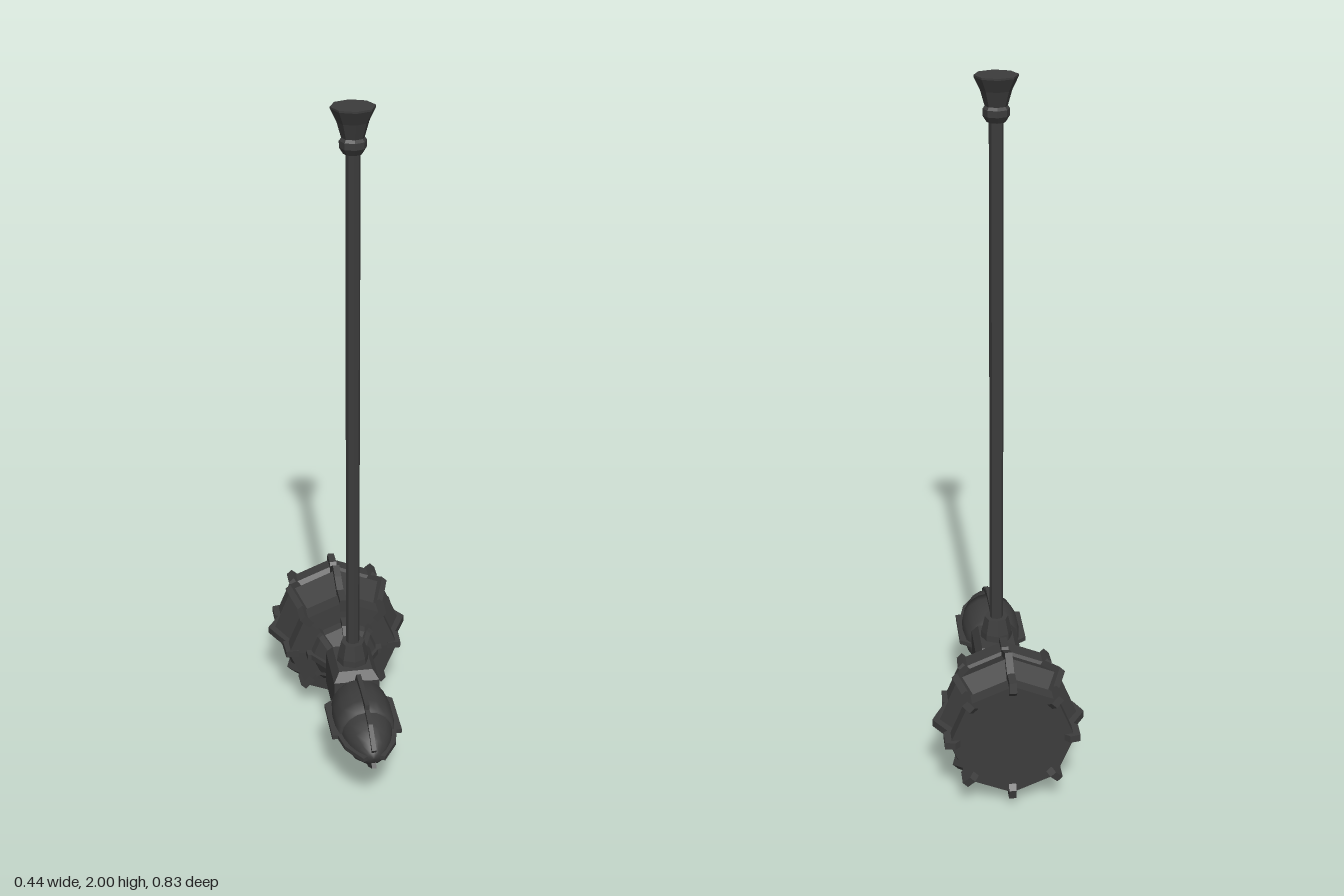
import * as THREE from 'three';

const AXIS_Y = 0.223; // height of the hammer head's axis
const GRIP_Z = 0.032; // position of the shaft along the head

const flat = new THREE.MeshStandardMaterial({ color: 0x3c3c3c, flatShading: true });
const smooth = new THREE.MeshStandardMaterial({ color: 0x3c3c3c });

function add(parent, name, geometry, material = flat) {
  const mesh = new THREE.Mesh(geometry, material);
  mesh.name = name;
  parent.add(mesh);
  return mesh;
}

// Turned solid; profile is [radius, height] from bottom to top
function turned(profile, sides) {
  return new THREE.LatheGeometry(profile.map(([r, h]) => new THREE.Vector2(r, h)), sides);
}

// Turned solid lying along z; profile is [radius, z] from back to front
const turnedZ = (profile, sides) => turned(profile, sides).rotateX(Math.PI / 2);

// Radial plates whose outline is [z, radius], repeated around the head axis
function ribs(parent, name, outline, width, count) {
  const shape = new THREE.Shape(outline.map(([z, r]) => new THREE.Vector2(z, r)));
  const geometry = new THREE.ExtrudeGeometry(shape, { depth: width, bevelEnabled: false });
  geometry.translate(0, 0, -width / 2).rotateY(-Math.PI / 2);
  for (let i = 0; i < count; i++) {
    add(parent, name, geometry).rotation.z = (i / count) * Math.PI * 2;
  }
}

export function createModel() {
  const model = new THREE.Group();
  model.name = 'warHammer';

  const head = new THREE.Group();
  head.name = 'hammerHead';
  head.position.y = AXIS_Y;
  model.add(head);

  // Octagonal striking drum with waist, swelling and front band
  add(head, 'strikingDrum', turnedZ([
    [0, -0.404], [0.176, -0.404], [0.176, -0.362], [0.162, -0.35], [0.201, -0.293],
    [0.16, -0.205], [0.17, -0.2], [0.17, -0.15], [0.105, -0.145],
    [0.1, -0.122], [0.056, -0.062], [0, -0.062],
  ], 8));

  // Raised ribs on the drum's eight corners
  ribs(head, 'drumRib', [
    [-0.418, 0.162], [-0.398, 0.14], [-0.145, 0.14], [-0.145, 0.18], [-0.203, 0.183],
    [-0.207, 0.175], [-0.255, 0.2], [-0.293, 0.218], [-0.352, 0.18], [-0.36, 0.191], [-0.412, 0.191],
  ], 0.021, 8);
  ribs(head, 'coneRib', [
    [-0.148, 0.08], [-0.062, 0.04], [-0.062, 0.066], [-0.118, 0.105], [-0.12, 0.116], [-0.148, 0.118],
  ], 0.018, 8);

  // Bevelled block joining drum, beak and shaft
  const plan = new THREE.Shape();
  plan.moveTo(-0.05, -0.092).lineTo(0.05, -0.092).lineTo(0.05, 0.042).lineTo(-0.05, 0.042).closePath();
  const block = new THREE.ExtrudeGeometry(plan, {
    depth: 0.11, bevelThickness: 0.028, bevelSize: 0.018, bevelSegments: 1,
  });
  block.translate(0, 0, -0.055).rotateX(-Math.PI / 2);
  block.scale(1, 1, 1);
  block.translate(0, 0, 0);
  add(head, 'centreBlock', block);

  // Rounded beak: a rear casing with a bullet-shaped tip
  add(head, 'beakCasing', turnedZ([
    [0, 0.108], [0.062, 0.11], [0.082, 0.14], [0.089, 0.2], [0.088, 0.25], [0.08, 0.292], [0, 0.296],
  ], 16), smooth);
  add(head, 'beakTip', turnedZ([
    [0.076, 0.28], [0.071, 0.315], [0.06, 0.35], [0.042, 0.382], [0.02, 0.407], [0, 0.412],
  ], 16), smooth);

  // Four long fins on the beak, stepped where casing meets tip
  ribs(head, 'beakFin', [
    [0.11, 0.03], [0.39, 0.01], [0.405, 0.014], [0.416, 0.031], [0.35, 0.074], [0.296, 0.086],
    [0.296, 0.102], [0.14, 0.102], [0.112, 0.064],
  ], 0.013, 4);

  // Shaft with collar, lower cap and flared pommel
  const grip = new THREE.Group();
  grip.name = 'grip';
  grip.position.z = GRIP_Z;
  model.add(grip);
  add(grip, 'shaft', new THREE.CylinderGeometry(0.02, 0.02, 1.56, 8).translate(0, 1.12, 0));
  add(grip, 'collar', turned([[0.048, 0.3], [0.046, 0.325], [0.035, 0.373], [0, 0.373]], 8));
  add(grip, 'lowerCap', turned([[0, 0.08], [0.022, 0.08], [0.04, 0.115], [0.045, 0.145]], 8));
  add(grip, 'pommel', turned([
    [0, 1.875], [0.026, 1.875], [0.037, 1.892], [0.037, 1.91], [0.031, 1.918],
    [0.043, 1.96], [0.06, 1.995], [0.06, 2], [0, 2],
  ], 8));

  return model;
}
